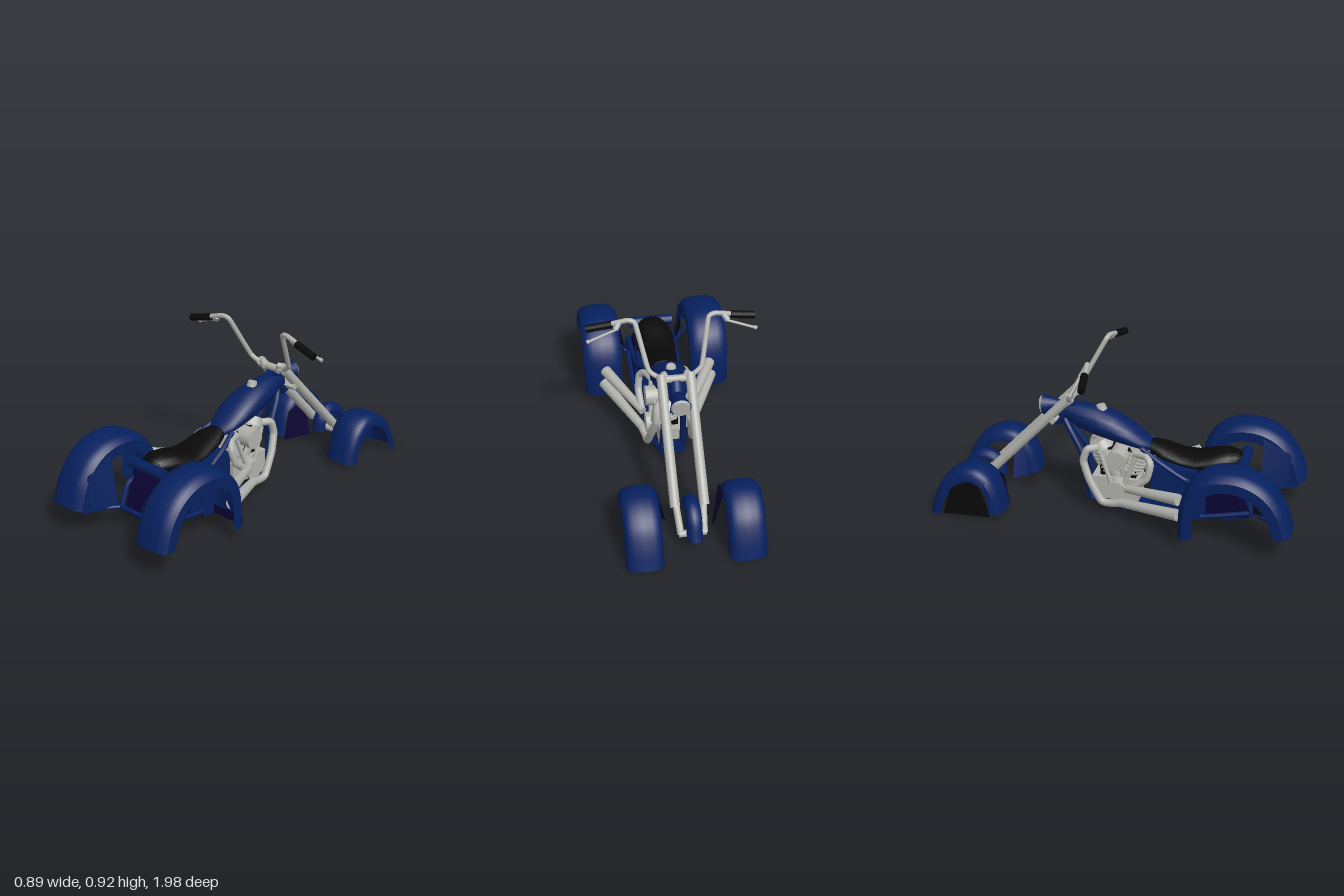
import * as THREE from 'three';
import { toCreasedNormals } from 'three/addons/utils/BufferGeometryUtils.js';

const V = (p) => new THREE.Vector3(...p);

export function createModel() {
  const model = new THREE.Group();
  const mat = (name, color, side = THREE.FrontSide) =>
    Object.assign(new THREE.MeshStandardMaterial({ color, side }), { name });
  const blue = mat('deep blue paint', 0x06205e, THREE.DoubleSide);
  const black = mat('black leather', 0x090909, THREE.DoubleSide);
  const purple = mat('dark indigo panel', 0x0b0333, THREE.DoubleSide);
  const steel = mat('pale grey metal', 0xb0b0ab);

  const add = (name, geo, m, pos = [0, 0, 0]) => {
    const mesh = new THREE.Mesh(geo, m);
    mesh.name = name;
    mesh.position.set(...pos);
    model.add(mesh);
    return mesh;
  };
  const box = (name, m, size, pos) => add(name, new THREE.BoxGeometry(...size), m, pos);
  // Straight capped rod between two points
  const rod = (name, m, a, b, r, r2 = r, sides = 14) => {
    const from = V(a), dir = V(b).sub(from);
    const mesh = add(name, new THREE.CylinderGeometry(r2, r, dir.length(), sides), m);
    mesh.position.copy(from).addScaledVector(dir, 0.5);
    mesh.quaternion.setFromUnitVectors(new THREE.Vector3(0, 1, 0), dir.normalize());
    return mesh;
  };
  const pipe = (name, m, pts, r) => add(name, new THREE.TubeGeometry(
    new THREE.CatmullRomCurve3(pts.map(V), false, 'catmullrom', 0.25), pts.length * 6, r, 10), m);
  const grid = (rows, closed) => {
    const n = rows[0].length, idx = [];
    for (let i = 0; i < rows.length - 1; i++)
      for (let j = 0; j < (closed ? n : n - 1); j++) {
        const a = i * n + j, b = i * n + (j + 1) % n;
        idx.push(a, b, a + n, b, b + n, a + n);
      }
    const g = new THREE.BufferGeometry();
    g.setAttribute('position', new THREE.Float32BufferAttribute(rows.flat(2), 3));
    g.setIndex(idx);
    return toCreasedNormals(g, 0.7);
  };
  // Oval cross-sections [z, top, bottom, half width]
  const loft = (name, m, rings) => add(name, grid(rings.map(([z, t, b, w]) =>
    Array.from({ length: 20 }, (_, j) => {
      const a = j / 20 * Math.PI * 2;
      return [w * Math.cos(a), (t + b) / 2 + (t - b) / 2 * Math.sin(a), z];
    })), true), m);
  // Fender: an arch of [z, y] swept with a rounded channel section
  const fender = (name, arch, centre, xIn, xOut, wall) => {
    const curve = new THREE.CatmullRomCurve3(arch.map(([z, y]) => new THREE.Vector3(0, y, z)));
    const section = [[0, wall], [0, 0.035], [0.08, 0.015], [0.25, 0.003], [0.5, 0],
      [0.75, 0.003], [0.92, 0.015], [1, 0.035], [1, wall]];
    add(name, grid(curve.getPoints(28).map((p) => {
      const d = new THREE.Vector3(0, centre[1] - p.y, centre[0] - p.z).normalize();
      return section.map(([t, k]) => [xIn + (xOut - xIn) * t, p.y + d.y * k, p.z + d.z * k]);
    }), false), blue);
  };
  // Four-cornered thin panel
  const panel = (name, m, a, b, c, d, dx = 0) => add(name, grid([[a, b], [d, c]], false), m, [dx, 0, 0]);

  const rearArch = [[0.99, 0.16], [0.94, 0.3], [0.86, 0.4], [0.76, 0.455], [0.66, 0.47],
    [0.55, 0.45], [0.46, 0.385], [0.41, 0.28], [0.395, 0.075]];
  const frontArch = [[-0.525, 0.05], [-0.56, 0.17], [-0.61, 0.25], [-0.69, 0.295], [-0.79, 0.285],
    [-0.89, 0.22], [-0.95, 0.12], [-0.99, 0.01]];

  for (const s of [1, -1]) {
    // Fenders and their inner panels
    fender('rearFender', rearArch, [0.67, 0.12], s * 0.2, s * 0.415, 0.09);
    const rear = [[s * 0.2, 0.41, 0.75], [s * 0.2, 0.33, 0.9], [s * 0.22, 0.13, 0.95], [s * 0.14, 0.13, 0.76]];
    panel('rearInnerPanel', blue, ...rear);
    panel('rearInnerLining', black, ...rear, s * 0.006);
    panel('rearFenderLip', purple, [s * 0.205, 0.14, 0.42], [s * 0.41, 0.14, 0.42],
      [s * 0.41, 0.09, 0.42], [s * 0.205, 0.09, 0.42]);
    const shift = s > 0 ? 0 : -0.04;
    fender('frontFender', frontArch.map(([z, y], i) => [z + shift * (1 - i / 7), y]),
      [-0.76, 0.02], s * 0.165, s * 0.355, 0.07);
    const end = s > 0 ? -0.66 : -0.74;
    const front = [[s * 0.165, 0.26, end], [s * 0.165, 0.2, -0.61], [s * 0.17, 0.03, -0.58], [s * 0.11, 0.03, end]];
    panel('frontInnerPanel', s > 0 ? blue : purple, ...front);
    panel('frontInnerLining', black, ...front, s * 0.006);

    // Fork legs
    rod('forkUpperTube', steel, [s * 0.075, 0.66, -0.255], [s * 0.075, 0.17, -0.72], 0.026);
    rod('forkLowerTube', steel, [s * 0.07, 0.18, -0.71], [s * 0.06, 0.07, -0.815], 0.018);

    // Handlebar, grip, lever
    pipe('handlebar', steel, [[s * 0.03, 0.64, -0.26], [s * 0.09, 0.65, -0.255], [s * 0.137, 0.685, -0.24],
      [s * 0.165, 0.8, -0.18], [s * 0.19, 0.905, -0.125], [s * 0.225, 0.918, -0.115],
      [s * 0.3, 0.9, -0.105], [s * 0.43, 0.868, -0.085]], 0.0135);
    rod('grip', black, [s * 0.305, 0.895, -0.105], [s * 0.436, 0.866, -0.084], 0.02);
    rod('leverMount', steel, [s * 0.27, 0.905, -0.11], [s * 0.29, 0.878, -0.13], 0.016);
    rod('lever', steel, [s * 0.28, 0.88, -0.13], [s * 0.43, 0.83, -0.148], 0.007);
    rod('leverTip', steel, [s * 0.425, 0.832, -0.147], [s * 0.44, 0.828, -0.149], 0.01);
    rod('handlebarClamp', steel, [s * 0.05, 0.63, -0.265], [s * 0.065, 0.672, -0.25], 0.024, 0.015);

    // Exhausts
    rod('upperMuffler', steel, [s * 0.13, 0.185, 0.07], [s * 0.3, 0.25, 0.39], 0.022, 0.032);
    rod('lowerMuffler', steel, [s * 0.14, 0.1, 0.04], [s * 0.31, 0.165, 0.39], 0.024, 0.032);
    pipe('upperExhaustPipe', steel, [[s * 0.07, 0.37, 0.1], [s * 0.1, 0.375, 0.17],
      [s * 0.13, 0.34, 0.2], [s * 0.14, 0.26, 0.18], [s * 0.135, 0.19, 0.09]], 0.02);
    pipe('lowerExhaustPipe', steel, [[s * 0.06, 0.375, -0.11], [s * 0.085, 0.37, -0.16], [s * 0.09, 0.3, -0.18],
      [s * 0.11, 0.2, -0.14], [s * 0.125, 0.09, -0.07], [s * 0.13, 0.085, -0.01], [s * 0.15, 0.105, 0.07]], 0.021);

    // Frame tubes
    pipe('lowerRail', blue, [[s * 0.13, 0.13, 0.75], [s * 0.13, 0.075, 0.5], [s * 0.12, 0.06, 0.3],
      [s * 0.09, 0.05, 0], [s * 0.06, 0.07, -0.15]], 0.014);
    pipe('downTube', blue, [[s * 0.06, 0.06, -0.14], [s * 0.055, 0.15, -0.165], [s * 0.05, 0.33, -0.2],
      [s * 0.03, 0.45, -0.27], [0, 0.5, -0.31]], 0.017);
    pipe('upperRail', blue, [[s * 0.08, 0.41, 0.14], [s * 0.11, 0.35, 0.25], [s * 0.12, 0.27, 0.4],
      [s * 0.13, 0.26, 0.6], [s * 0.13, 0.25, 0.7], [s * 0.13, 0.13, 0.75]], 0.014);
    rod('rearStrut', blue, [s * 0.12, 0.28, 0.4], [s * 0.12, 0.07, 0.4], 0.013);
    rod('fenderStay', blue, [s * 0.13, 0.13, 0.75], [s * 0.25, 0.135, 0.93], 0.01);
  }
  // Solid outer cover on the right front fender
  panel('frontWheelCover', black, [-0.352, 0.25, -0.7], [-0.352, 0.22, -0.84], [-0.352, 0.02, -0.9], [-0.352, 0.03, -0.63]);

  // Slim centre fender between the fork legs
  fender('centreFender', [[-0.65, 0.12], [-0.67, 0.2], [-0.73, 0.25], [-0.8, 0.255], [-0.87, 0.21], [-0.92, 0.1]],
    [-0.78, 0.1], -0.04, 0.04, 0.045);
  rod('frontAxle', steel, [-0.07, 0.075, -0.815], [0.07, 0.075, -0.815], 0.018);

  // Steering head and fork clamps
  rod('upperClamp', steel, [-0.09, 0.637, -0.265], [0.09, 0.637, -0.265], 0.02);
  box('lowerClamp', steel, [0.19, 0.035, 0.06], [0, 0.53, -0.36]).rotation.x = 0.75;
  rod('steeringHead', blue, [0, 0.62, -0.26], [0, 0.48, -0.36], 0.035);

  // Headlamp
  rod('headlampShell', blue, [0, 0.58, -0.33], [0, 0.57, -0.425], 0.025, 0.055, 20);
  rod('headlampLens', steel, [0, 0.57, -0.422], [0, 0.568, -0.438], 0.052, 0.046, 20);

  // Fuel tank and filler cap
  loft('fuelTank', blue, [[-0.32, 0.58, 0.56, 0.005], [-0.3, 0.6, 0.51, 0.045], [-0.22, 0.605, 0.46, 0.07],
    [-0.12, 0.593, 0.43, 0.09], [-0.02, 0.562, 0.41, 0.102], [0.06, 0.518, 0.395, 0.098],
    [0.13, 0.463, 0.38, 0.08], [0.19, 0.42, 0.375, 0.045], [0.21, 0.395, 0.39, 0.005]]);
  rod('fillerCap', steel, [0, 0.575, -0.1], [0, 0.603, -0.106], 0.03, 0.024, 18);

  // Seat
  loft('seat', black, [[0.165, 0.4, 0.395, 0.01], [0.18, 0.435, 0.36, 0.06], [0.25, 0.42, 0.34, 0.09],
    [0.35, 0.388, 0.32, 0.1], [0.43, 0.385, 0.31, 0.107], [0.52, 0.415, 0.31, 0.105],
    [0.6, 0.43, 0.32, 0.092], [0.65, 0.42, 0.33, 0.07], [0.685, 0.38, 0.36, 0.01]]);

  // Rear body with a sloping back
  const side = new THREE.Shape([[0.42, 0.07], [0.73, 0.09], [0.735, 0.13], [0.7, 0.24], [0.64, 0.32], [0.56, 0.345], [0.42, 0.32]]
    .map(([z, y]) => new THREE.Vector2(-z, y)));
  const bodyGeo = new THREE.ExtrudeGeometry(side, { depth: 0.23, bevelEnabled: false });
  bodyGeo.rotateY(Math.PI / 2).translate(-0.115, 0, 0);
  add('rearBody', bodyGeo, purple);
  box('rearBodyTrim', blue, [0.238, 0.25, 0.3], [0, 0.2, 0.35]);
  rod('tailRoll', blue, [-0.125, 0.37, 0.68], [0.125, 0.37, 0.68], 0.03);
  rod('rearCrossBar', blue, [-0.15, 0.13, 0.75], [0.15, 0.13, 0.75], 0.013);
  rod('lowerCrossBar', blue, [-0.12, 0.068, 0.62], [0.12, 0.068, 0.62], 0.013);
  box('floorPlate', blue, [0.2, 0.012, 0.7], [0, 0.06, 0.35]).rotation.x = -0.04;
  box('sumpPlate', black, [0.13, 0.02, 0.26], [0, 0.065, -0.02]);
  box('frameFoot', blue, [0.13, 0.07, 0.035], [0, 0.1, -0.155]);

  // V-twin engine
  box('crankcase', steel, [0.13, 0.13, 0.26], [0, 0.14, -0.01]);
  rod('crankCover', steel, [-0.125, 0.155, 0.01], [0.125, 0.155, 0.01], 0.055, 0.055, 20);
  rod('airCleaner', steel, [-0.125, 0.335, 0.01], [0.125, 0.335, 0.01], 0.055, 0.055, 20);
  box('engineCore', black, [0.08, 0.2, 0.2], [0, 0.27, 0]);
  for (const d of [1, -1]) {
    const at = (t) => [0, 0.17 + 0.2 * t, 0.01 + d * 0.115 * t];
    rod('cylinder', steel, at(0.1), at(0.95), 0.05, 0.058);
    for (let i = 0; i < 5; i++) rod('coolingFin', steel, at(0.4 + i * 0.1), at(0.44 + i * 0.1), 0.068);
    rod('cylinderHead', steel, at(0.92), at(1.12), 0.07, 0.055);
    for (const s of [1, -1])
      rod('pushrod', steel, [s * 0.09, 0.17, 0.01 + d * 0.03], [s * 0.08, 0.36, 0.01 + d * 0.1], 0.012);
  }
  return model;
}
